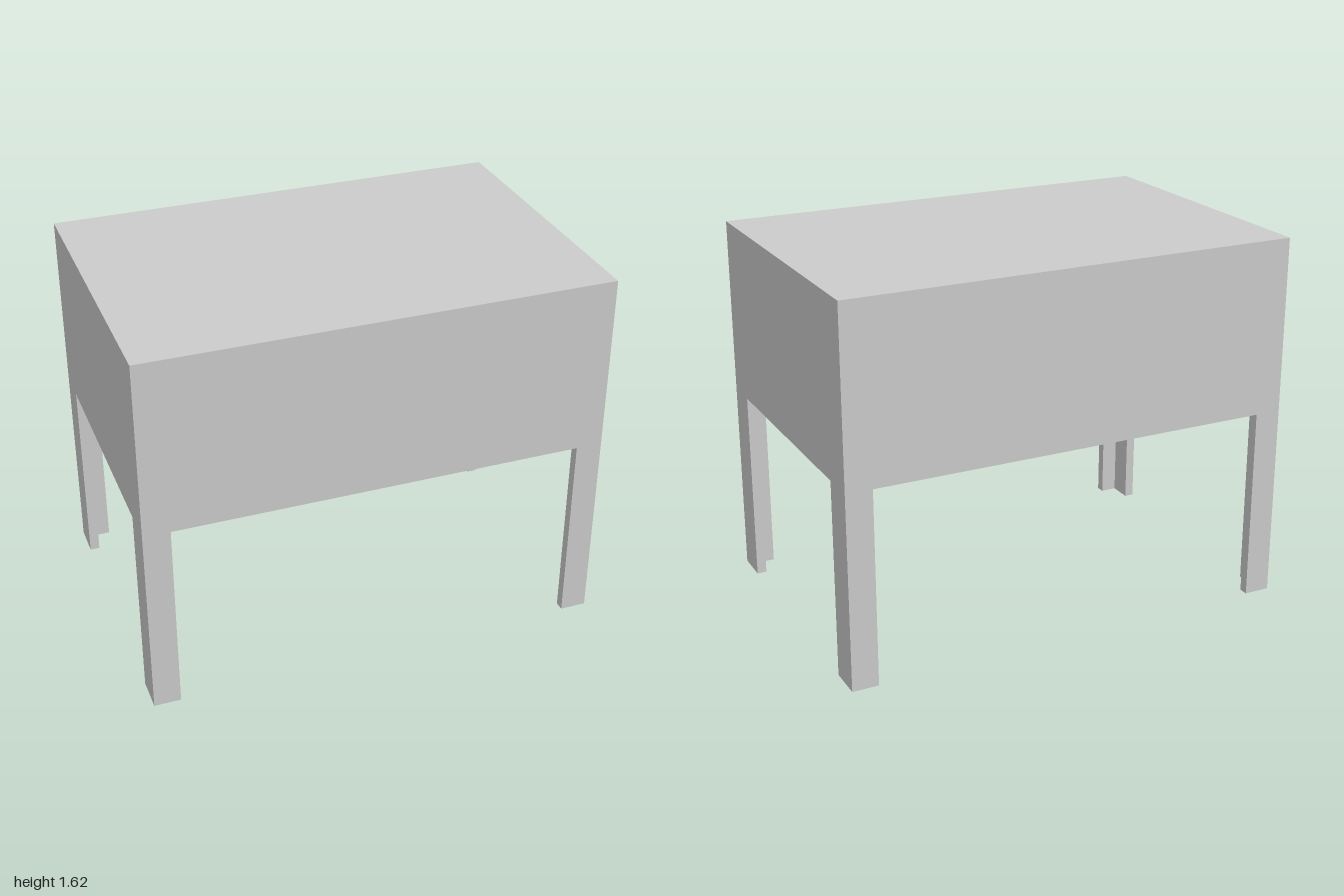
import * as THREE from 'three';

const HALF_X = 1, HALF_Z = 0.66;
const LEG_HEIGHT = 0.855, TOP = 1.62;
const LEG_X = 0.115, LEG_Z = 0.15, THICK = 0.042;

// Angle-profile leg whose outer corner sits at the body corner (sx, sz)
function makeLeg(sx, sz, material) {
  const outline = [
    [0, 0], [LEG_X, 0], [LEG_X, THICK],
    [THICK, THICK], [THICK, LEG_Z], [0, LEG_Z],
  ].map(([x, z]) => new THREE.Vector2(sx * (HALF_X - x), -sz * (HALF_Z - z)));
  const geometry = new THREE.ExtrudeGeometry(new THREE.Shape(outline), {
    depth: LEG_HEIGHT, bevelEnabled: false,
  });
  geometry.rotateX(-Math.PI / 2);
  return new THREE.Mesh(geometry, material);
}

export function createModel() {
  const group = new THREE.Group();
  group.name = 'boxTable';
  const material = new THREE.MeshStandardMaterial({ color: 0xcccccc });

  // Deep closed body
  const height = TOP - LEG_HEIGHT;
  const body = new THREE.Mesh(new THREE.BoxGeometry(2 * HALF_X, height, 2 * HALF_Z), material);
  body.position.y = LEG_HEIGHT + height / 2;
  body.name = 'body';
  group.add(body);

  // Four corner legs, open towards the centre
  for (const sz of [1, -1]) {
    for (const sx of [1, -1]) {
      const leg = makeLeg(sx, sz, material);
      leg.name = (sz > 0 ? 'front' : 'back') + (sx > 0 ? 'Left' : 'Right') + 'Leg';
      group.add(leg);
    }
  }
  return group;
}
